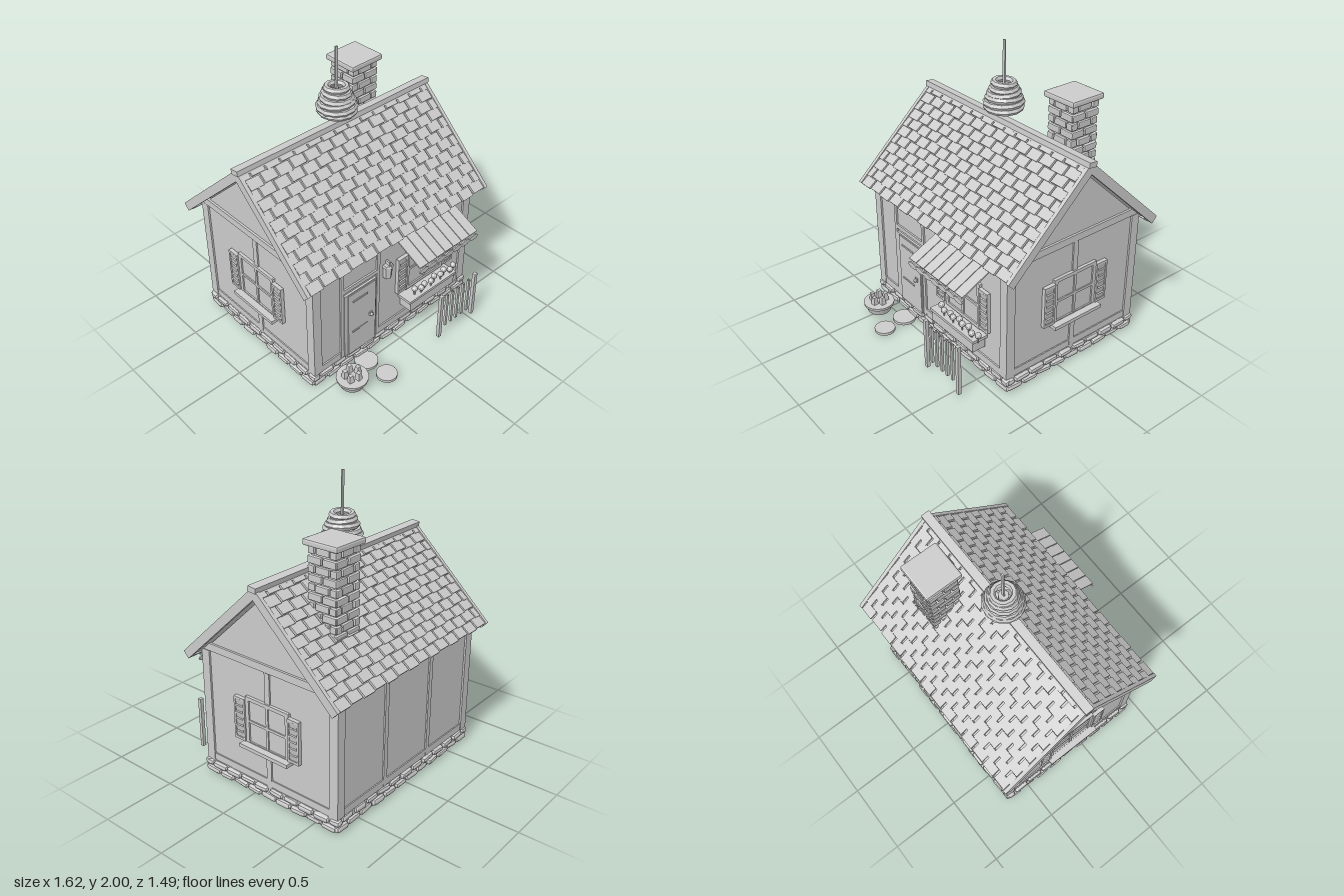
import * as THREE from 'three';
import { RoundedBoxGeometry } from 'three/addons/geometries/RoundedBoxGeometry.js';

const mat = new THREE.MeshStandardMaterial({ color: 0xcccccc, flatShading: true, side: THREE.DoubleSide });
const RIDGE_Z = -0.123, RIDGE_Y = 1.475, SLOPE = 0.755, SLOPE_LEN = 0.853;
const WALL_X = 0.7, FRONT = 0.42, BACK = -0.666;

let seed = 7;
const rnd = () => (seed = (seed * 16807) % 2147483647) / 2147483647;
const jitter = (a) => (rnd() - 0.5) * 2 * a;

function add(parent, name, geo, x = 0, y = 0, z = 0) {
  const m = new THREE.Mesh(geo, mat);
  m.name = name;
  m.position.set(x, y, z);
  parent.add(m);
  return m;
}
const box = (p, name, w, h, d, x, y, z) => add(p, name, new THREE.BoxGeometry(w, h, d), x, y, z);
function group(parent, name, x = 0, y = 0, z = 0, ry = 0) {
  const g = new THREE.Group();
  g.name = name;
  g.position.set(x, y, z);
  g.rotation.y = ry;
  parent.add(g);
  return g;
}

// Gabled body with timber framing
function buildWalls(root) {
  const g = group(root, 'walls');
  const s = new THREE.Shape();
  s.moveTo(BACK, 0.09); s.lineTo(FRONT, 0.09); s.lineTo(FRONT, 0.89);
  s.lineTo(RIDGE_Z, 1.4); s.lineTo(BACK, 0.89);
  const geo = new THREE.ExtrudeGeometry(s, { depth: 2 * WALL_X, bevelEnabled: false });
  geo.rotateY(-Math.PI / 2).translate(WALL_X, 0, 0);
  add(g, 'wallBody', geo);
  for (const x of [-0.68, 0.68]) for (const z of [FRONT - 0.02, BACK + 0.02])
    box(g, 'cornerPost', 0.065, 0.8, 0.065, x, 0.5, z);
  // front beams
  box(g, 'frontSill', 1.36, 0.05, 0.02, 0, 0.125, FRONT);
  for (const x of [-0.47, -0.155]) box(g, 'doorPost', 0.025, 0.8, 0.024, x, 0.5, FRONT);
  box(g, 'doorLintel', 0.3, 0.03, 0.024, -0.31, 0.67, FRONT);
  // back beams
  for (const x of [-0.235, 0.235]) box(g, 'backPost', 0.035, 0.8, 0.02, x, 0.5, BACK);
  for (const y of [0.125, 0.87]) box(g, 'backBeam', 1.36, 0.05, 0.016, 0, y, BACK);
  // side beams
  for (const s of [-1, 1]) {
    const x = s * WALL_X;
    box(g, 'sidePost', 0.02, 0.8, 0.04, x, 0.5, RIDGE_Z);
    box(g, 'sideSill', 0.016, 0.05, 1.05, x, 0.125, RIDGE_Z);
    box(g, 'tieBeam', 0.03, 0.05, 1.09, x, 0.93, RIDGE_Z);
  }
}

// Plinth ringed by two courses of rough stones
function buildFoundation(root) {
  const g = group(root, 'foundation');
  box(g, 'plinth', 1.42, 0.09, 1.09, 0, 0.055, RIDGE_Z);
  const sides = [[0, 0.54, 1.46], [Math.PI, 0.54, 1.46], [Math.PI / 2, 0.708, 1.11], [-Math.PI / 2, 0.708, 1.11]];
  for (const [ry, dist, len] of sides) {
    const side = group(g, 'stoneSide', 0, 0, RIDGE_Z, ry);
    for (let row = 0; row < 2; row++) {
      const n = Math.round(len / 0.12), step = len / n;
      for (let i = 0; i < n + row; i++) {
        const x0 = Math.max(-len / 2, -len / 2 + (i - row * 0.5) * step);
        const x1 = Math.min(len / 2, -len / 2 + (i + 1 - row * 0.5) * step);
        const w = (x1 - x0) * (0.9 + jitter(0.08));
        const st = add(side, 'stone', new RoundedBoxGeometry(w, 0.04 + jitter(0.004), 0.048, 1, 0.016),
          (x0 + x1) / 2, 0.031 + row * 0.045, dist + jitter(0.006));
        st.rotation.set(jitter(0.2), jitter(0.06), jitter(0.06));
      }
    }
  }
}

// Two shingled slopes, bargeboards and ridge beam
function buildRoof(root) {
  const g = group(root, 'roof', 0, RIDGE_Y, RIDGE_Z);
  const rows = 12, pitch = 0.0705, cols = 14, tileW = 1.56 / cols;
  for (const ry of [0, Math.PI]) {
    const half = group(g, 'roofHalf', 0, 0, 0, ry);
    const slope = group(half, 'roofSlope');
    slope.rotation.x = SLOPE;
    box(slope, 'roofDeck', 1.56, 0.03, SLOPE_LEN - 0.015, 0, -0.033, SLOPE_LEN / 2 - 0.01);
    box(slope, 'eaveBoard', 1.57, 0.035, 0.02, 0, -0.04, SLOPE_LEN - 0.03);
    for (const s of [-1, 1]) box(slope, 'bargeBoard', 0.025, 0.058, SLOPE_LEN, s * 0.79, -0.025, SLOPE_LEN / 2);
    for (let r = 0; r < rows; r++) {
      const shift = r % 2 ? 0.5 : 0;
      for (let c = 0; c < cols + shift * 2; c++) {
        const x0 = Math.max(-0.78, -0.78 + (c - shift) * tileW + 0.007);
        const x1 = Math.min(0.78, -0.78 + (c + 1 - shift) * tileW - 0.007);
        const end = SLOPE_LEN - r * pitch - (c % 2 ? 0.006 : 0);
        box(slope, 'shingle', x1 - x0, 0.015, 0.07, (x0 + x1) / 2, -0.009, end - 0.035).rotation.x = -0.1;
      }
    }
  }
  box(g, 'ridgeBeam', 1.62, 0.035, 0.06, 0, -0.008, 0).rotation.x = -0.12;
}

// Brick chimney
function buildChimney(root) {
  const g = group(root, 'chimney', 0.375, 0, -0.368);
  box(g, 'chimneyCore', 0.185, 0.58, 0.185, 0, 1.4, 0);
  for (let i = 0; i < 10; i++) {
    const edges = i % 2 ? [-0.111, -0.055, 0.055, 0.111] : [-0.111, 0, 0.111];
    for (let f = 0; f < 4; f++) {
      const face = group(g, 'brickFace', 0, 1.14 + i * 0.057, 0, f * Math.PI / 2);
      for (let k = 0; k < edges.length - 1; k++)
        add(face, 'brick', new RoundedBoxGeometry(edges[k + 1] - edges[k] - 0.01, 0.045, 0.032, 1, 0.006),
          (edges[k] + edges[k + 1]) / 2, 0, 0.095 + jitter(0.005));
    }
  }
  add(g, 'chimneyCap', new RoundedBoxGeometry(0.267, 0.042, 0.262, 1, 0.012), 0, 1.698, 0).rotation.z = 0.015;
}

// Ringed hive hanging from a rod above the ridge
function buildHive(root) {
  const g = group(root, 'hangingHive', 0, 0, -0.125);
  box(g, 'hangingRod', 0.02, 0.3, 0.01, 0, 1.85, 0);
  const radii = [0.113, 0.116, 0.105, 0.093, 0.079, 0.066];
  radii.forEach((r, i) => {
    const ring = add(g, 'hiveRing', new THREE.TorusGeometry(r, 0.021, 6, 12), 0, 1.565 + i * 0.031, 0);
    ring.rotation.set(Math.PI / 2 + jitter(0.06), jitter(0.06), i * 0.3);
  });
  add(g, 'hiveLining', new THREE.CylinderGeometry(0.065, 0.115, 0.16, 12, 1, true), 0, 1.635, 0);
  add(g, 'hiveHub', new THREE.CylinderGeometry(0.035, 0.035, 0.14, 6), 0, 1.63, 0);
  for (let i = -1; i <= 1; i++) box(g, 'hiveFoot', 0.006, 0.03, 0.006, i * 0.02, 1.545, 0);
}

// Cross-barred window with louvred shutters, facing local +z
function buildWindow(root, name, x, y, z, ry, withSill) {
  const g = group(root, name, x, y, z, ry);
  box(g, 'windowPane', 0.34, 0.3, 0.016, 0, 0, 0.002);
  for (const s of [-1, 1]) {
    box(g, 'frameSide', 0.028, 0.34, 0.03, s * 0.165, 0, 0.005);
    box(g, 'frameRail', 0.34, 0.025, 0.03, 0, s * 0.158, 0.005);
    const sh = group(g, 'shutter', s * 0.223, 0, 0.018);
    for (const e of [-1, 1]) {
      box(sh, 'shutterStile', 0.014, 0.29, 0.026, e * 0.038, 0, 0);
      box(sh, 'shutterRail', 0.088, 0.018, 0.026, 0, e * 0.14, 0);
    }
    for (let i = 0; i < 6; i++)
      box(sh, 'louvre', 0.07, 0.044, 0.01, 0, -0.115 + i * 0.046, 0.004).rotation.x = 0.2;
  }
  box(g, 'mullion', 0.018, 0.3, 0.022, 0, 0, 0.007);
  box(g, 'glazingBar', 0.32, 0.018, 0.022, 0, 0, 0.007);
  if (withSill) box(g, 'windowSill', 0.4, 0.025, 0.07, 0, -0.165, 0.03);
}

function buildDoor(root) {
  const g = group(root, 'door', -0.315, 0, FRONT);
  box(g, 'doorFrame', 0.28, 0.53, 0.03, 0, 0.365, 0);
  box(g, 'doorPanel', 0.24, 0.52, 0.012, 0.01, 0.36, 0.015);
  for (const y of [0.29, 0.555]) box(g, 'hinge', 0.13, 0.012, 0.006, -0.01, y, 0.023);
  box(g, 'handlePlate', 0.025, 0.03, 0.008, 0.085, 0.355, 0.024);
  add(g, 'doorKnob', new THREE.IcosahedronGeometry(0.013, 1), 0.085, 0.352, 0.035);
  const l = group(root, 'lantern', -0.075, 0, FRONT + 0.012);
  add(l, 'lanternBody', new THREE.CylinderGeometry(0.036, 0.03, 0.09, 6), 0, 0.618, 0);
  add(l, 'lanternCap', new THREE.CylinderGeometry(0.034, 0.042, 0.016, 6), 0, 0.672, 0);
  box(l, 'lanternHook', 0.012, 0.035, 0.045, 0, 0.69, 0);
}

// Striped awning, flower box and picket fence at the front window
function buildWindowExtras(root) {
  const aw = group(root, 'awning');
  for (let i = 0; i < 7; i++) {
    const x = 0.04 + i * 0.079;
    box(aw, 'awningStrip', 0.074, 0.01, 0.242, x, 0.782, 0.532).rotation.x = 0.45;
    const sc = add(aw, 'scallop', new THREE.CylinderGeometry(0.043, 0.043, 0.01, 12), x, 0.697, 0.643);
    sc.rotation.x = Math.PI / 2;
    sc.scale.z = 0.45;
  }
  const fb = group(root, 'flowerBox', 0.28, 0, 0.475);
  box(fb, 'boxBody', 0.43, 0.09, 0.1, 0, 0.275, 0);
  box(fb, 'boxRim', 0.46, 0.02, 0.115, 0, 0.315, 0);
  for (let i = 0; i < 9; i++) {
    const x = -0.15 + i * 0.048, z = i % 2 ? 0.035 : 0.02, y = 0.367 + jitter(0.01);
    box(fb, 'stem', 0.008, 0.06, 0.008, x, y - 0.025, z);
    add(fb, 'blossom', new THREE.IcosahedronGeometry(0.022, 1), x, y, z);
  }
  const fence = group(root, 'picketFence', 0, 0, 0.672);
  for (const x of [0.204, 0.54]) box(fence, 'fencePost', 0.026, 0.37, 0.024, x, 0.195, 0);
  for (let i = 0; i < 5; i++) {
    const picket = new THREE.CylinderGeometry(0.012, 0.012, 0.28, 4, 1, true).rotateY(Math.PI / 4);
    add(fence, 'picket', picket, 0.262 + i * 0.054, 0.22, 0);
  }
}

// Planter and round stepping stones by the door
function buildYard(root) {
  const p = group(root, 'planter', -0.52, 0, 0.577);
  add(p, 'planterTub', new THREE.CylinderGeometry(0.1, 0.08, 0.06, 20), 0, 0.04, 0);
  add(p, 'planterRim', new THREE.CylinderGeometry(0.108, 0.105, 0.02, 20), 0, 0.07, 0);
  for (let i = 0; i < 5; i++) {
    const a = i * Math.PI * 0.4;
    const sprout = add(p, 'sprout', new THREE.CylinderGeometry(0.018, 0.026, 0.06, 4),
      Math.cos(a) * 0.048, 0.105, Math.sin(a) * 0.046);
    sprout.rotation.y = Math.PI / 4 + jitter(0.2);
  }
  for (const [x, z, r] of [[-0.3, 0.674, 0.071], [-0.32, 0.5, 0.08]])
    add(root, 'steppingStone', new THREE.CylinderGeometry(r, r, 0.02, 20), x, 0.013, z);
}

export function createModel() {
  const root = new THREE.Group();
  root.name = 'cottage';
  [buildFoundation, buildWalls, buildRoof, buildChimney, buildHive, buildDoor, buildWindowExtras, buildYard]
    .forEach((build) => build(root));
  buildWindow(root, 'frontWindow', 0.28, 0.515, FRONT, 0, false);
  for (const s of [-1, 1])
    buildWindow(root, 'sideWindow', s * WALL_X, 0.52, RIDGE_Z, s * Math.PI / 2, true);
  return root;
}
